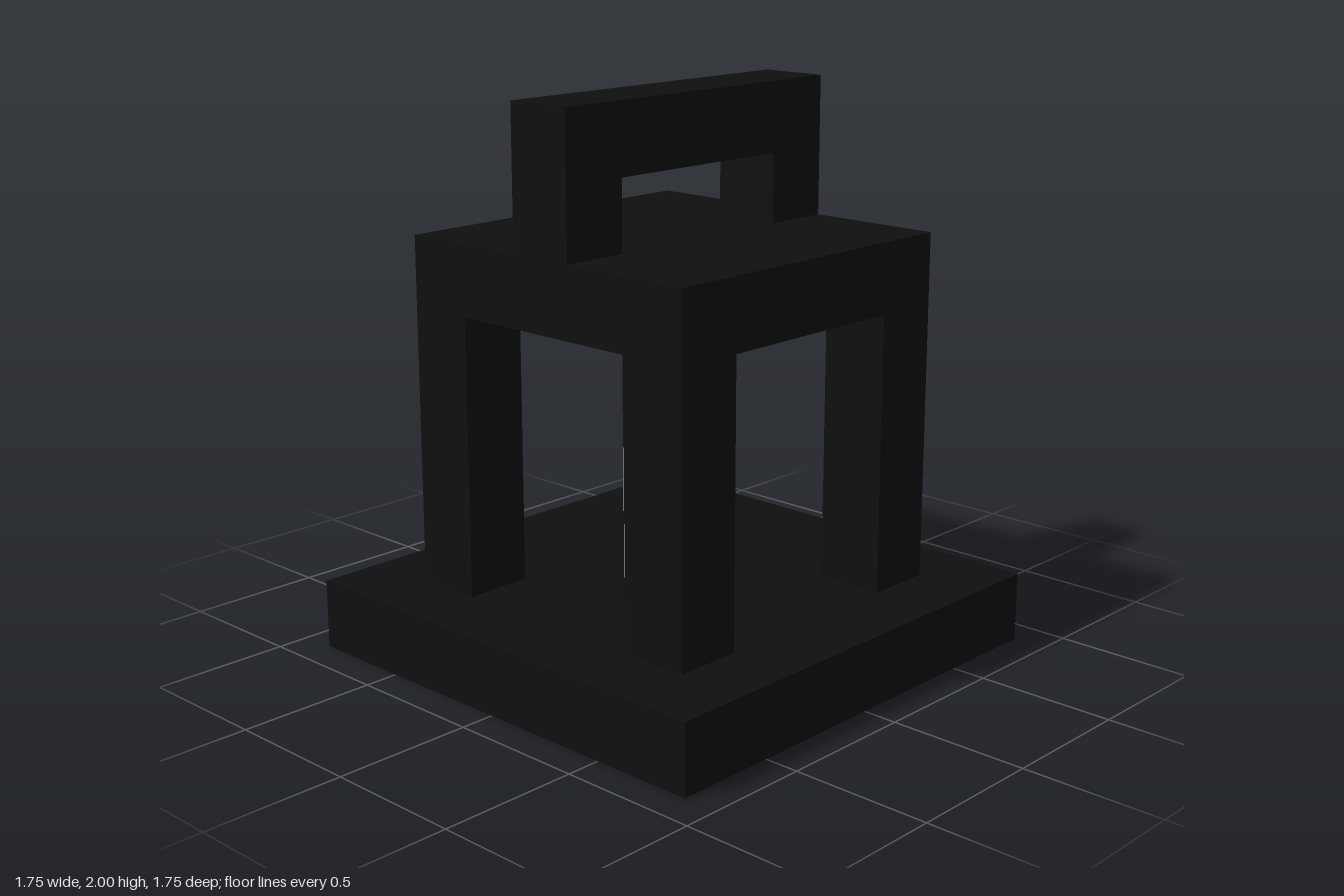
import * as THREE from 'three';

export function createModel() {
  const model = new THREE.Group();
  model.name = 'lantern';

  const black = new THREE.MeshStandardMaterial({ color: 0x0f0f0f });
  black.name = 'black metal';
  const wax = new THREE.MeshStandardMaterial({ color: 0xd8d8d8 });
  wax.name = 'pale wax';

  // Box given by its size, its bottom height and its centre in plan
  function block(parent, name, material, [w, h, d], bottom, x = 0, z = 0) {
    const mesh = new THREE.Mesh(new THREE.BoxGeometry(w, h, d), material);
    mesh.name = name;
    mesh.position.set(x, bottom + h / 2, z);
    parent.add(mesh);
  }

  function group(name) {
    const g = new THREE.Group();
    g.name = name;
    model.add(g);
    return g;
  }

  // Square base and roof slab
  block(model, 'base', black, [1.75, 0.25, 1.75], 0);
  block(model, 'roof', black, [1.25, 0.25, 1.25], 1.25);

  // Four corner posts
  const posts = group('cornerPosts');
  for (const x of [-0.5, 0.5]) {
    for (const z of [-0.5, 0.5]) block(posts, 'cornerPost', black, [0.25, 1, 0.25], 0.25, x, z);
  }

  // Carrying handle on the roof
  const handle = group('handle');
  for (const x of [-0.5, 0.5]) block(handle, 'handleLeg', black, [0.25, 0.25, 0.25], 1.5, x);
  block(handle, 'handleBar', black, [1.25, 0.25, 0.25], 1.75);

  // Candle with its dark top
  const candle = group('candle');
  block(candle, 'candleBody', wax, [0.25, 0.5, 0.25], 0.25);
  block(candle, 'candleTop', black, [0.25, 0.25, 0.25], 0.75);

  return model;
}
